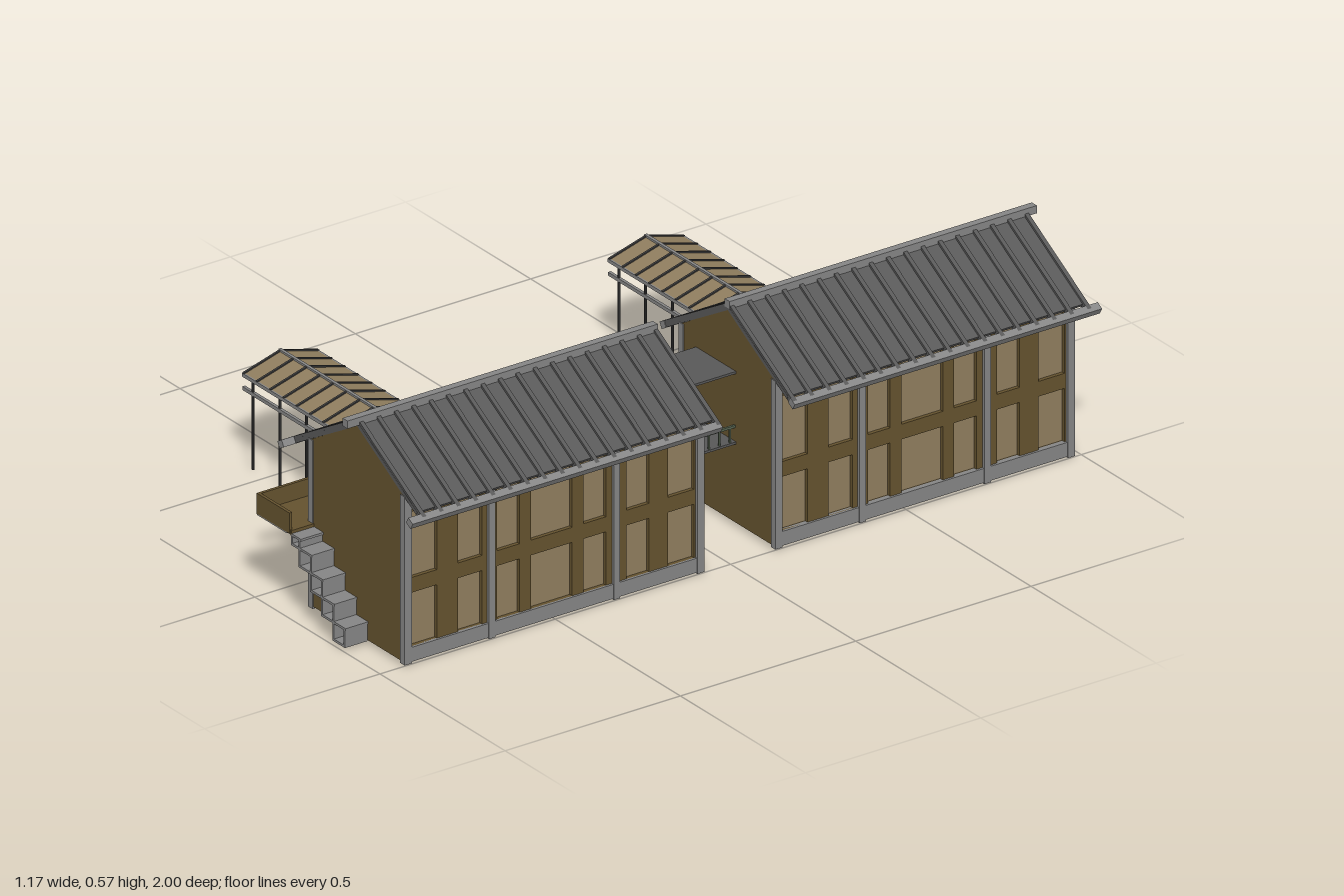
import * as THREE from 'three';

const mat = (color) => new THREE.MeshStandardMaterial({ color, flatShading: true });
const M = {
  brown: mat(0x64522e), beige: mat(0x8f7d5e), grey: mat(0x858585),
  roof: mat(0x585858), dark: mat(0x3c3c3c), rail: mat(0x56634f),
};
const CX = 0.3125;            // house centre in x
const SLOPE = Math.PI / 6;    // roof pitch

// Box given by its min/max extents
function box(parent, name, material, x0, x1, y0, y1, z0, z1) {
  const m = new THREE.Mesh(new THREE.BoxGeometry(x1 - x0, y1 - y0, z1 - z0), material);
  m.position.set((x0 + x1) / 2, (y0 + y1) / 2, (z0 + z1) / 2);
  m.name = name;
  parent.add(m);
  return m;
}

function group(parent, name) {
  const g = new THREE.Group();
  g.name = name;
  parent.add(g);
  return g;
}

// Long wall with window openings, in local z (house centre = 0)
function sideWall(house, side) {
  const g = group(house, side > 0 ? 'leftWindowWall' : 'rightWindowWall');
  const s = new THREE.Shape();
  s.moveTo(-0.425, 0.01).lineTo(0.425, 0.01).lineTo(0.425, 0.44).lineTo(-0.425, 0.44).closePath();
  const columns = [[0.33, 0.404], [0.201, 0.27], [0.094, 0.158], [-0.056, 0.062],
    [-0.152, -0.088], [-0.275, -0.211], [-0.403, -0.329]];
  for (const [a, b] of columns) {
    for (const [c, d] of [[0.045, 0.183], [0.222, 0.392]]) {
      const h = new THREE.Path();
      h.moveTo(a, c).lineTo(a, d).lineTo(b, d).lineTo(b, c).closePath();
      s.holes.push(h);
    }
  }
  const geo = new THREE.ExtrudeGeometry(s, { depth: 0.01, bevelEnabled: false });
  geo.rotateY(-Math.PI / 2); // shape x becomes z, depth runs to -x
  const wall = new THREE.Mesh(geo, M.brown);
  wall.name = 'wallFrame';
  wall.position.x = side > 0 ? CX + 0.185 : CX - 0.175;
  g.add(wall);
  const px = CX + side * 0.171;
  box(g, 'windowPanels', M.beige, px - 0.003, px + 0.003, 0.02, 0.43, -0.42, 0.42);

  // Timber posts and base beam
  const ox = CX + side * 0.184;
  for (const z of [-0.416, -0.178, 0.178, 0.416])
    box(g, 'post', M.grey, ox - 0.009, ox + 0.009, 0.005, 0.44, z - 0.009, z + 0.009);
  box(g, 'baseBeam', M.grey, ox - 0.007, ox + 0.007, 0.008, 0.045, -0.424, 0.424);
  box(g, 'topBeam', M.grey, ox - 0.007, ox + 0.007, 0.425, 0.44, -0.424, 0.424);
}

// One roof slope: sheet, ribs and eave beam
function roofSlope(house, side, z0, z1) {
  const g = group(house, side > 0 ? 'leftRoofSlope' : 'rightRoofSlope');
  g.position.set(CX, 0.557, 0);
  g.rotation.z = -SLOPE * side;
  const span = (name, m, a, b, y0, y1, c, d) =>
    box(g, name, m, Math.min(a * side, b * side), Math.max(a * side, b * side), y0, y1, c, d);
  span('roofSheet', M.roof, 0, 0.278, -0.006, 0.002, -0.426, 0.426);
  for (let i = 0; i < 18; i++) {
    const z = -0.42 + i * 0.84 / 17;
    span('roofRib', M.roof, 0, 0.298, -0.009, 0.008, z - 0.0055, z + 0.0055);
  }
  span('eaveBeam', M.grey, 0.288, 0.308, -0.01, 0.008, z0, z1);
}

// House, roof overhanging toward one outer end
function house(parent, name, zc, outer) {
  const h = group(parent, name);
  h.position.z = zc;
  const gable = new THREE.Shape();
  gable.moveTo(-0.187, 0.01).lineTo(0.187, 0.01).lineTo(0.187, 0.438)
    .lineTo(0, 0.548).lineTo(-0.187, 0.438).closePath();
  for (const z of [-0.425, 0.415]) {
    const m = new THREE.Mesh(new THREE.ExtrudeGeometry(gable, { depth: 0.01, bevelEnabled: false }), M.brown);
    m.position.set(CX, 0, z);
    m.name = 'gableWall';
    h.add(m);
  }
  box(h, 'floor', M.beige, CX - 0.182, CX + 0.182, 0.008, 0.02, -0.42, 0.42);
  // Corner trims seen on the gable ends
  for (const sx of [-1, 1]) for (const sz of [-1, 1])
    box(h, 'cornerPost', M.grey, CX + sx * 0.184 - 0.009, CX + sx * 0.184 + 0.009, 0.005, 0.44,
      sz * 0.418 - 0.0095, sz * 0.418 + 0.0095);
  const z0 = outer > 0 ? -0.425 : -0.449, z1 = outer > 0 ? 0.46 : 0.427;
  for (const side of [-1, 1]) {
    sideWall(h, side);
    roofSlope(h, side, z0, z1);
  }
  box(h, 'ridgeBeam', M.grey, CX - 0.01, CX + 0.01, 0.553, 0.573, z0, z1);
}

// Balcony trough on the right-hand long side
function balcony(parent, z0, z1) {
  const g = group(parent, 'balcony');
  box(g, 'balconyFloor', M.brown, 0.006, 0.125, 0.22, 0.226, z0, z1);
  box(g, 'balconyEdge', M.grey, 0.006, 0.125, 0.214, 0.22, z0, z1);
  box(g, 'parapet', M.brown, 0.004, 0.012, 0.216, 0.27, z0, z1);
  box(g, 'endParapet', M.brown, 0.008, 0.135, 0.217, 0.27, z1 - 0.008, z1);
  box(g, 'endParapet', M.brown, 0.008, 0.125, 0.217, 0.27, z0, z0 + 0.008);
}

// Zig-zag open stair at the front gable
function stairs(parent) {
  const g = group(parent, 'stairs');
  const z0 = 0.93, z1 = 0.995, t = 0.003;
  box(g, 'landing', M.brown, 0.12, 0.14, 0.214, 0.226, z0, z1);
  box(g, 'tread', M.grey, 0.135, 0.177, 0.212, 0.218, z0, z1);
  box(g, 'riser', M.grey, 0.137, 0.143, 0.19, 0.214, z0, z1);
  box(g, 'riser', M.grey, 0.168, 0.174, 0.19, 0.214, z0, z1);
  for (let i = 0; i < 4; i++) {
    const x = 0.171 + i * 0.045, y = 0.191 - i * 0.0453;
    box(g, 'tread', M.grey, Math.max(x - 0.048, 0.137), x + 0.05, y - t, y + t, z0, z1);
    for (const rx of [x, x + 0.045]) box(g, 'riser', M.grey, rx - t, rx + t, y - 0.045, y, z0, z1);
  }
  box(g, 'footPlate', M.grey, 0.303, 0.353, 0.007, 0.013, z0, z1);
}

// Covered walkway: low gabled roof on two rows of thin posts
function canopy(parent, zc) {
  const g = group(parent, 'canopy');
  g.position.z = zc;
  const pitch = Math.atan2(0.03, 0.107), len = Math.hypot(0.03, 0.107);
  for (const s of [-1, 1]) {
    const slope = group(g, 'canopySlope');
    slope.position.y = 0.265;
    slope.rotation.x = s * pitch;
    const c = Math.min(0, s * len), d = Math.max(0, s * len);
    box(slope, 'canopySheet', M.beige, -0.588, 0.004, -0.003, 0, c, d);
    box(slope, 'canopyUnderside', M.dark, -0.587, 0.003, -0.006, -0.003, c, d);
    for (let i = 0; i < 12; i++) {
      const x = -0.586 + i * 0.0532;
      box(slope, 'canopyRib', M.dark, x - 0.003, x + 0.003, -0.009, 0.003, c, d);
    }
    const z = s * 0.103;
    box(g, 'eaveRail', M.grey, -0.59, 0.004, 0.227, 0.236, z - 0.005, z + 0.005);
    box(g, 'lowerRail', M.grey, -0.59, 0.12, 0.192, 0.201, z - 0.004, z + 0.004);
    for (let i = 0; i < 6; i++) {
      const post = new THREE.Mesh(new THREE.CylinderGeometry(0.0035, 0.0035, 0.23, 8), M.dark);
      post.position.set(-0.552 + i * 0.1067, 0.115, z);
      post.name = 'canopyPost';
      g.add(post);
    }
  }
  box(g, 'canopyRidge', M.grey, -0.59, 0.004, 0.262, 0.269, -0.004, 0.004);
}

// Bridge joining the two houses at the upper floor
function bridge(parent) {
  const g = group(parent, 'bridge');
  const z0 = -0.127, z1 = 0.082;
  box(g, 'bridgeRoof', M.roof, 0.185, 0.345, 0.395, 0.401, z0, z1);
  box(g, 'bridgeFloor', M.roof, 0.185, 0.345, 0.213, 0.219, z0, z1);
  for (const x of [0.19, 0.34]) {
    box(g, 'handrail', M.rail, x - 0.003, x + 0.003, 0.255, 0.261, z0, z1);
    for (let i = 0; i < 7; i++) {
      const z = -0.112 + i * 0.03;
      box(g, 'baluster', M.rail, x - 0.002, x + 0.002, 0.217, 0.257, z - 0.002, z + 0.002);
    }
  }
}

export function createModel() {
  const model = new THREE.Group();
  model.name = 'twinHouses';
  house(model, 'frontHouse', 0.506, 1);
  house(model, 'backHouse', -0.551, -1);
  balcony(model, 0.082, 0.998);
  balcony(model, -0.976, -0.127);
  stairs(model);
  canopy(model, 0.508);
  canopy(model, -0.535);
  bridge(model);
  return model;
}
